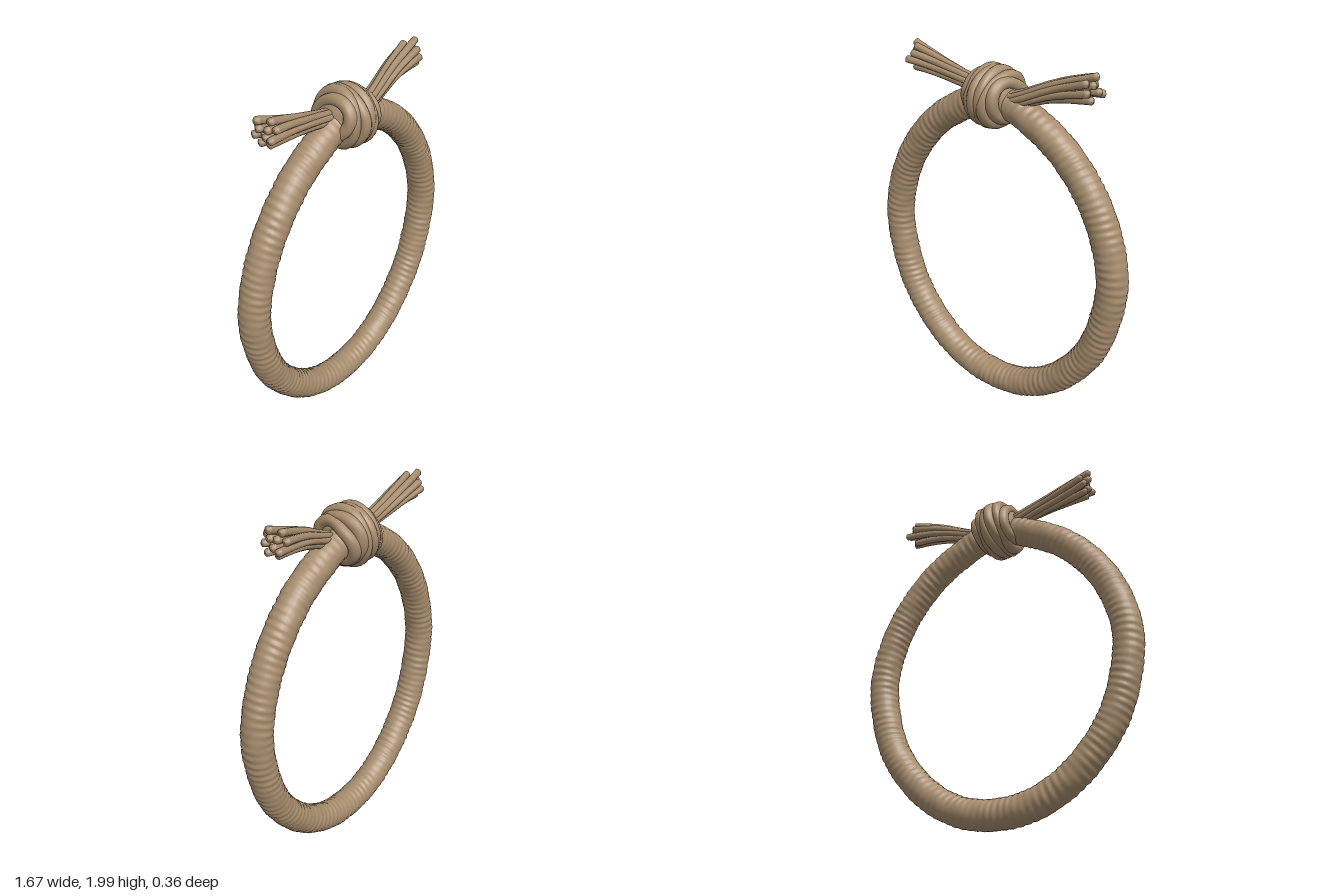
import * as THREE from 'three';

const V = (x, y, z = 0) => new THREE.Vector3(x, y, z);

// Sweep a round section along a curve; radius(t, angle) gives the surface relief
function sweep(curve, steps, sides, radius) {
  const frames = curve.computeFrenetFrames(steps, curve.closed === true);
  const pos = [], index = [];
  for (let i = 0; i <= steps; i++) {
    const t = i / steps, p = curve.getPointAt(t);
    for (let j = 0; j < sides; j++) {
      const a = (j / sides) * Math.PI * 2, r = radius(t, a);
      const v = p.clone()
        .addScaledVector(frames.normals[i], Math.cos(a) * r)
        .addScaledVector(frames.binormals[i], Math.sin(a) * r);
      pos.push(v.x, v.y, v.z);
      if (i < steps) {
        const k = (j + 1) % sides, A = i * sides, B = A + sides;
        index.push(A + j, A + k, B + j, A + k, B + k, B + j);
      }
    }
  }
  const g = new THREE.BufferGeometry();
  g.setAttribute('position', new THREE.Float32BufferAttribute(pos, 3));
  g.setIndex(index);
  g.computeVertexNormals();
  return g;
}

// Rounds a strand off to a point at both ends
const capEnds = (t, e) => Math.sqrt(Math.max(0, 1 - Math.max(0, (e - t) / e, (t - 1 + e) / e) ** 2));

export function createModel() {
  const model = new THREE.Group();
  const rope = new THREE.MeshStandardMaterial({ color: 0xa68c6d });
  rope.name = 'hemp rope';
  const add = (parent, name, geometry) => {
    const m = new THREE.Mesh(geometry, rope);
    m.name = name;
    parent.add(m);
    return m;
  };

  // Main loop: half profile mirrored across x, wrapped with fine uneven ridges
  const half = [[0.05, 1.765], [0.18, 1.715], [0.43, 1.56], [0.64, 1.3], [0.745, 0.98],
    [0.725, 0.73], [0.63, 0.47], [0.43, 0.235], [0.21, 0.11]];
  const path = [
    ...half.map(([x, y]) => V(-x, y, -0.003)),
    V(0, 0.077, -0.003),
    ...half.slice().reverse().map(([x, y]) => V(x, y, -0.003)),
  ];
  add(model, 'ropeLoop', sweep(new THREE.CatmullRomCurve3(path), 900, 28, (t, a) => {
    const wrap = Math.sin(t * 760 + a + 1.5 * Math.sin(t * 37));
    const uneven = 0.5 + 0.5 * Math.sin(t * 91 + 2 * a);
    return 0.082 + 0.0016 * wrap * (0.4 + uneven) + 0.001 * Math.sin(t * 213 - 3 * a);
  }));

  // Knot: solid core wrapped by slanting coils, fuller in the middle
  const knot = new THREE.Group();
  knot.name = 'knot';
  knot.position.set(-0.012, 1.775, -0.003);
  model.add(knot);
  const core = new THREE.SphereGeometry(1, 32, 24);
  core.scale(0.132, 0.145, 0.15);
  add(knot, 'knotCore', core);
  const coils = 6;
  for (let c = 0; c < coils; c++) {
    const u = (c / (coils - 1)) * 2 - 1;
    const pts = [];
    for (let i = 0; i < 24; i++) {
      const a = (i / 24) * Math.PI * 2;
      const x = u * 0.09 + 0.02 * Math.cos(a + 0.7) + 0.007 * Math.sin(2 * a + c * 1.9);
      const r = 0.139 - 0.05 * (x / 0.11) ** 2 + 0.006 * Math.sin(a * 2 + c * 2.3);
      pts.push(V(x, Math.cos(a) * r * 0.96, Math.sin(a) * r * 1.03));
    }
    const curve = new THREE.CatmullRomCurve3(pts, true);
    add(knot, 'knotCoil', sweep(curve, 120, 14, (t, a) =>
      0.033 + 0.0025 * Math.sin(t * Math.PI * 4 + c) + 0.0012 * Math.sin(4 * a + t * Math.PI * 6)));
  }

  // Frayed tails: a twisted bundle of strands that fans out at the tip
  const tail = (name, axisPoints, twist) => {
    const group = new THREE.Group();
    group.name = name;
    model.add(group);
    const axis = new THREE.CatmullRomCurve3(axisPoints);
    const strands = 12;
    for (let s = 0; s < strands; s++) {
      const inner = s < 4;
      const base = inner ? (s / 4) * Math.PI * 2 : ((s - 4) / 8) * Math.PI * 2 + 0.3;
      const length = 0.965 + 0.035 * Math.sin(s * 2.7);
      const pts = [];
      for (let i = 0; i <= 8; i++) {
        const t = i / 8;
        const p = axis.getPoint(t * length);
        const spread = (inner ? 0.4 : 1) * (0.027 + 0.006 * t + 0.026 * t ** 3);
        const a = base + twist * t;
        pts.push(V(p.x, p.y + Math.cos(a) * spread * 1.08, p.z + Math.sin(a) * spread));
      }
      add(group, 'tailStrand', sweep(new THREE.CatmullRomCurve3(pts), 48, 10, (t, a) =>
        (0.0155 + 0.0045 * t + 0.001 * Math.sin(3 * a + s + t * 8)) * capEnds(t, 0.025)));
    }
  };
  tail('rightTail', [V(-0.06, 1.785, -0.015), V(-0.2, 1.82, -0.02), V(-0.4, 1.868, -0.02), V(-0.612, 1.916, -0.02)], 0.9);
  tail('leftTail', [V(0.05, 1.765, 0.02), V(0.18, 1.8, 0.015), V(0.38, 1.867, -0.005), V(0.615, 1.912, -0.018)], -0.9);

  return model;
}
